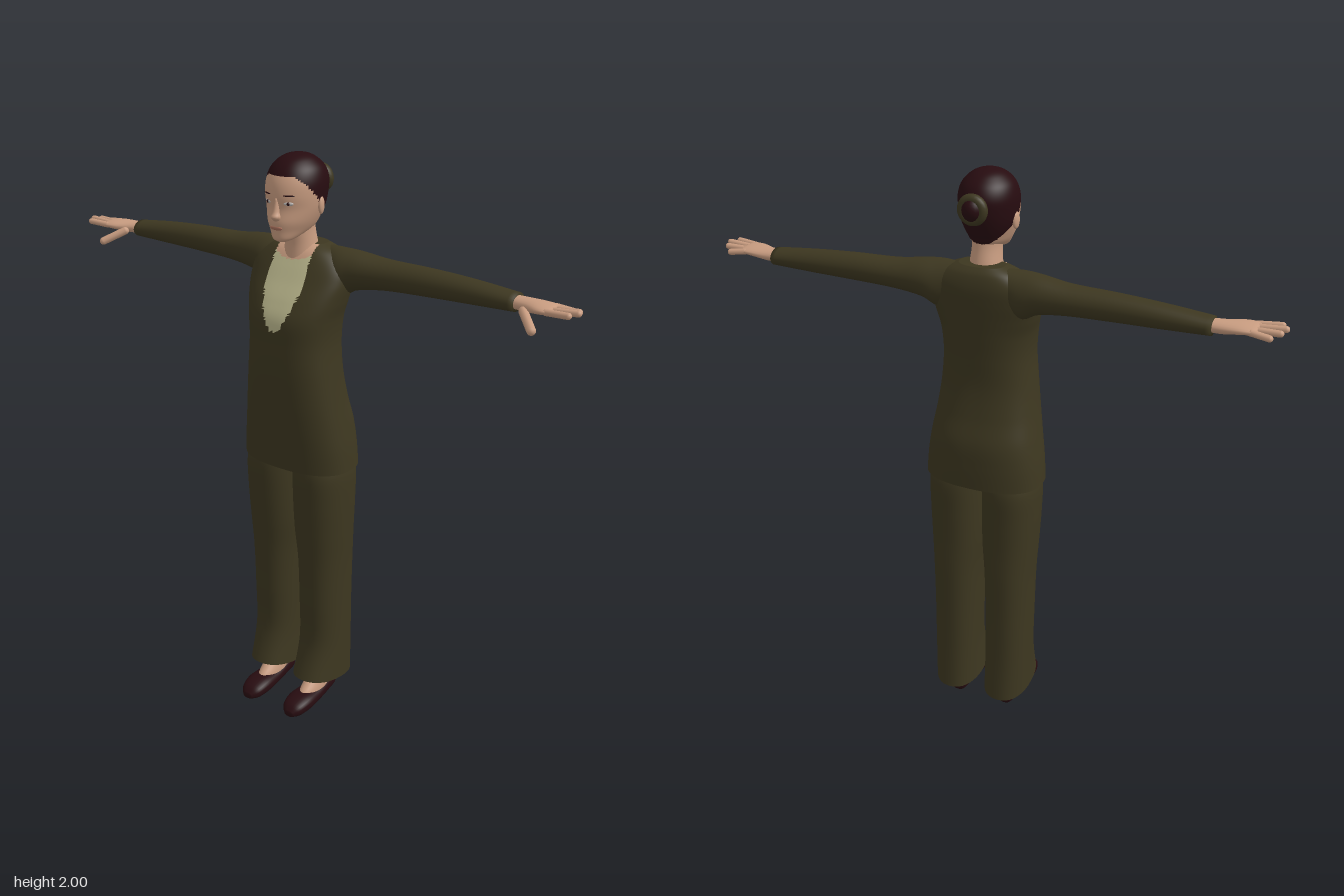
import * as THREE from 'three';

const mat = (name, color, side = THREE.FrontSide) => {
  const m = new THREE.MeshStandardMaterial({ color, side });
  m.name = name;
  return m;
};

// Smooth interpolation of rows of numbers
function sampleRows(rows, n) {
  const last = rows.length - 1;
  const at = (i) => rows[Math.max(0, Math.min(last, i))];
  return Array.from({ length: n + 1 }, (_, k) => {
    const u = (k / n) * last, i = Math.min(last - 1, Math.floor(u)), f = u - i;
    return at(i).map((b, c) => {
      const a = at(i - 1)[c], d = at(i + 1)[c], e = at(i + 2)[c];
      const m0 = (d - a) / 2, m1 = (e - b) / 2, f2 = f * f, f3 = f2 * f;
      return (2 * f3 - 3 * f2 + 1) * b + (f3 - 2 * f2 + f) * m0 + (3 * f2 - 2 * f3) * d + (f3 - f2) * m1;
    });
  });
}

// Skin over rounded cross-sections. Rows are [t, aMin, aMax, bMin, bMax], where
// (t, a, b) run along (x, y, z), (y, z, x) or (z, x, y) for axis 'x', 'y' or 'z'.
function loft(name, materials, axis, rows, o = {}) {
  const { n = 24, sides = 28, pow = 2, capStart = true, capEnd = true, pick = () => 0, warp } = o;
  const shift = { x: 0, y: 1, z: 2 }[axis];
  const mats = [].concat(materials), pts = [];
  const add = (t, a, b) => {
    const p = [0, 0, 0];
    [t, a, b].forEach((v, k) => { p[(k + shift) % 3] = v; });
    const v = new THREE.Vector3(...p);
    if (warp) warp(v);
    return pts.push(v) - 1;
  };
  const round = (v) => Math.sign(v) * Math.abs(v) ** (2 / pow);
  const sampled = sampleRows(rows, n);
  for (const [t, a0, a1, b0, b1] of sampled) {
    for (let j = 0; j < sides; j++) {
      const q = (j / sides) * Math.PI * 2;
      add(t, (a0 + a1) / 2 + (round(Math.cos(q)) * (a1 - a0)) / 2, (b0 + b1) / 2 + (round(Math.sin(q)) * (b1 - b0)) / 2);
    }
  }
  const lists = mats.map(() => []);
  const tri = (...f) => {
    const c = new THREE.Vector3();
    f.forEach((i) => c.addScaledVector(pts[i], 1 / 3));
    lists[pick(c)].push(...f);
  };
  for (let i = 0; i < n; i++) {
    for (let j = 0; j < sides; j++) {
      const k = (j + 1) % sides, r = i * sides, s = r + sides;
      tri(r + j, r + k, s + k);
      tri(r + j, s + k, s + j);
    }
  }
  const cap = (row, base, flip) => {
    const c = add(row[0], (row[1] + row[2]) / 2, (row[3] + row[4]) / 2);
    for (let j = 0; j < sides; j++) {
      const p = base + j, q = base + ((j + 1) % sides);
      flip ? tri(c, q, p) : tri(c, p, q);
    }
  };
  if (capStart) cap(sampled[0], 0, true);
  if (capEnd) cap(sampled[n], n * sides, false);

  const g = new THREE.BufferGeometry().setFromPoints(pts);
  g.setIndex(lists.flat());
  let start = 0;
  lists.forEach((l, i) => { g.addGroup(start, l.length, i); start += l.length; });
  g.computeVertexNormals();
  const mesh = new THREE.Mesh(g, mats.length > 1 ? mats : mats[0]);
  mesh.name = name;
  return mesh;
}

// Squashed ball for small features
function blob(name, material, pos, size, turn = 0) {
  const m = new THREE.Mesh(new THREE.SphereGeometry(1, 20, 14), material);
  m.name = name;
  m.position.set(...pos);
  m.scale.set(...size);
  m.rotation.y = turn;
  return m;
}

// Rounded finger between two points
function finger(name, material, from, to, r) {
  const a = new THREE.Vector3(...from), b = new THREE.Vector3(...to), d = b.clone().sub(a);
  const m = new THREE.Mesh(new THREE.CapsuleGeometry(r, d.length() - r, 4, 10), material);
  m.name = name;
  m.position.copy(a).add(b).multiplyScalar(0.5);
  m.quaternion.setFromUnitVectors(new THREE.Vector3(0, 1, 0), d.normalize());
  return m;
}

export function createModel() {
  const cloth = mat('olive cloth', 0x3d3720, THREE.DoubleSide);
  const skin = mat('skin', 0xc89c80);
  const dark = mat('dark maroon', 0x270c10);
  const cream = mat('cream blouse', 0xbab68c, THREE.DoubleSide);
  const eyeWhite = mat('eye white', 0xb9b4b0);
  const lip = mat('lips', 0xa8705c);

  const model = new THREE.Group();
  model.name = 'standingFigure';

  // Jacket with a deep neckline showing the blouse
  const neckline = (y) => 0.07 * Math.sqrt(Math.min(1, Math.max(0, (y - 1.445) / 0.13)));
  model.add(loft('jacket', [cloth, cream, skin], 'y', [
    [0.95, -0.17, 0.095, -0.207, 0.207], [1.03, -0.17, 0.103, -0.2, 0.2],
    [1.11, -0.165, 0.112, -0.188, 0.188], [1.2, -0.142, 0.12, -0.173, 0.173],
    [1.3, -0.126, 0.125, -0.16, 0.16], [1.4, -0.126, 0.125, -0.152, 0.152],
    [1.48, -0.13, 0.122, -0.158, 0.158], [1.54, -0.134, 0.098, -0.172, 0.172],
    [1.6, -0.138, 0.063, -0.182, 0.182], [1.65, -0.138, 0.035, -0.172, 0.172],
    [1.69, -0.128, 0.01, -0.125, 0.125], [1.712, -0.11, -0.015, -0.075, 0.075],
  ], {
    n: 90, sides: 96, pow: 2.5, capStart: false,
    pick: (c) => {
      if (c.z < -0.04 || Math.abs(c.x) > neckline(c.y)) return 0;
      return c.y > 1.665 + 4 * c.x * c.x ? 2 : 1;
    },
  }));

  // Neck
  model.add(loft('neck', skin, 'y', [
    [1.65, -0.1, 0.025, -0.062, 0.062], [1.71, -0.09, 0.024, -0.052, 0.052],
    [1.76, -0.08, 0.03, -0.047, 0.047], [1.81, -0.075, 0.03, -0.05, 0.05],
  ]));

  // Head, with hair above a slanting hairline
  const head = new THREE.Group();
  head.name = 'head';
  model.add(head);
  head.add(loft('faceAndHair', [skin, dark], 'y', [
    [1.735, 0.05, 0.088, -0.018, 0.018], [1.745, 0.01, 0.1, -0.037, 0.037],
    [1.77, -0.07, 0.104, -0.058, 0.058], [1.8, -0.092, 0.107, -0.074, 0.074],
    [1.84, -0.108, 0.1, -0.088, 0.088], [1.88, -0.118, 0.103, -0.094, 0.094],
    [1.92, -0.12, 0.097, -0.094, 0.094], [1.955, -0.106, 0.08, -0.083, 0.083],
    [1.98, -0.08, 0.055, -0.06, 0.06], [1.994, -0.052, 0.025, -0.035, 0.035],
    [2.0, -0.018, -0.008, -0.005, 0.005],
  ], { n: 70, sides: 72, pick: (c) => (c.y > Math.min(1.942, 1.86 + 1.1 * c.z) ? 1 : 0) }));
  head.add(loft('nose', skin, 'y', [
    [1.803, 0.08, 0.106, -0.013, 0.013], [1.817, 0.08, 0.122, -0.017, 0.017],
    [1.835, 0.08, 0.114, -0.011, 0.011], [1.875, 0.08, 0.104, -0.007, 0.007],
  ], { n: 12, sides: 14 }));
  head.add(blob('lips', lip, [0, 1.782, 0.103], [0.024, 0.007, 0.005]));
  for (const s of [1, -1]) {
    head.add(blob('eye', eyeWhite, [s * 0.039, 1.86, 0.09], [0.016, 0.006, 0.004], s * 0.45));
    head.add(blob('iris', dark, [s * 0.039, 1.86, 0.0925], [0.005, 0.0055, 0.004], s * 0.45));
    head.add(blob('eyebrow', dark, [s * 0.041, 1.885, 0.0915], [0.019, 0.0025, 0.003], s * 0.45));
    head.add(blob('ear', skin, [s * 0.091, 1.845, -0.012], [0.009, 0.028, 0.016], s * 0.2));
  }

  // Hair bun with a cloth band
  head.add(blob('hairBun', dark, [0, 1.9, -0.13], [0.036, 0.04, 0.037]));
  const band = new THREE.Mesh(new THREE.TorusGeometry(0.033, 0.017, 12, 28), cloth);
  band.name = 'bunBand';
  band.position.set(0, 1.9, -0.135);
  head.add(band);

  // Limbs, mirrored for the other side
  for (const s of [1, -1]) {
    const limbs = new THREE.Group();
    limbs.name = s > 0 ? 'leftLimbs' : 'rightLimbs';
    limbs.scale.x = s;
    model.add(limbs);

    limbs.add(loft('sleeve', cloth, 'x', [
      [0.08, 1.6, 1.706, -0.115, -0.03], [0.14, 1.55, 1.706, -0.132, 0],
      [0.2, 1.575, 1.702, -0.134, -0.008], [0.3, 1.59, 1.69, -0.131, -0.024],
      [0.45, 1.596, 1.686, -0.129, -0.034], [0.6, 1.6, 1.677, -0.128, -0.04],
      [0.75, 1.605, 1.662, -0.125, -0.043],
    ], { n: 36 }));

    // Hand
    limbs.add(loft('palm', skin, 'x', [
      [0.73, 1.614, 1.655, -0.11, -0.055], [0.78, 1.614, 1.655, -0.113, -0.045],
      [0.83, 1.62, 1.655, -0.115, -0.022], [0.865, 1.625, 1.652, -0.112, -0.018],
      [0.88, 1.632, 1.648, -0.105, -0.025],
    ], { n: 16, sides: 20 }));
    [[-0.101, -0.108, 0.925, 1.63], [-0.078, -0.082, 0.95, 1.64], [-0.054, -0.053, 0.96, 1.645], [-0.03, -0.021, 0.943, 1.643]]
      .forEach(([z0, z1, x, y]) => limbs.add(finger('finger', skin, [0.86, 1.638, z0], [x, y, z1], 0.0105)));
    limbs.add(finger('thumb', skin, [0.785, 1.628, -0.045], [0.85, 1.588, 0.02], 0.014));

    // Trouser leg with a hem that rises at the front
    limbs.add(loft('trouserLeg', cloth, 'y', [
      [0.103, -0.165, 0.094, 0.012, 0.181], [0.25, -0.157, 0.054, 0.018, 0.18],
      [0.42, -0.154, 0.055, 0.017, 0.181], [0.58, -0.154, 0.06, 0.013, 0.184],
      [0.7, -0.152, 0.07, 0.003, 0.19], [0.82, -0.153, 0.079, 0, 0.195],
      [0.93, -0.153, 0.083, 0, 0.195], [1.0, -0.135, 0.07, 0, 0.178], [1.07, -0.12, 0.06, 0, 0.165],
    ], {
      n: 48, sides: 36, pow: 2.3, capStart: false,
      warp: (p) => { p.y += 0.17 * p.z * Math.max(0, 1 - (p.y - 0.1) / 0.3); },
    }));

    // Foot and shoe
    limbs.add(loft('foot', skin, 'y', [
      [0.03, -0.08, 0.115, 0.06, 0.13], [0.06, -0.084, 0.09, 0.06, 0.13],
      [0.085, -0.084, 0.058, 0.062, 0.128], [0.12, -0.08, 0.012, 0.064, 0.126],
      [0.22, -0.085, -0.002, 0.064, 0.126],
    ], { n: 20 }));
    limbs.add(loft('shoe', dark, 'z', [
      [-0.099, 0.082, 0.108, 0.02, 0.065], [-0.088, 0.066, 0.124, 0.005, 0.078],
      [-0.04, 0.058, 0.132, 0.005, 0.066], [0.03, 0.051, 0.139, 0.003, 0.058],
      [0.1, 0.046, 0.143, 0, 0.06], [0.15, 0.055, 0.133, 0, 0.048], [0.175, 0.078, 0.112, 0.006, 0.026],
    ], { n: 28, pow: 2.5 }));
  }
  return model;
}
